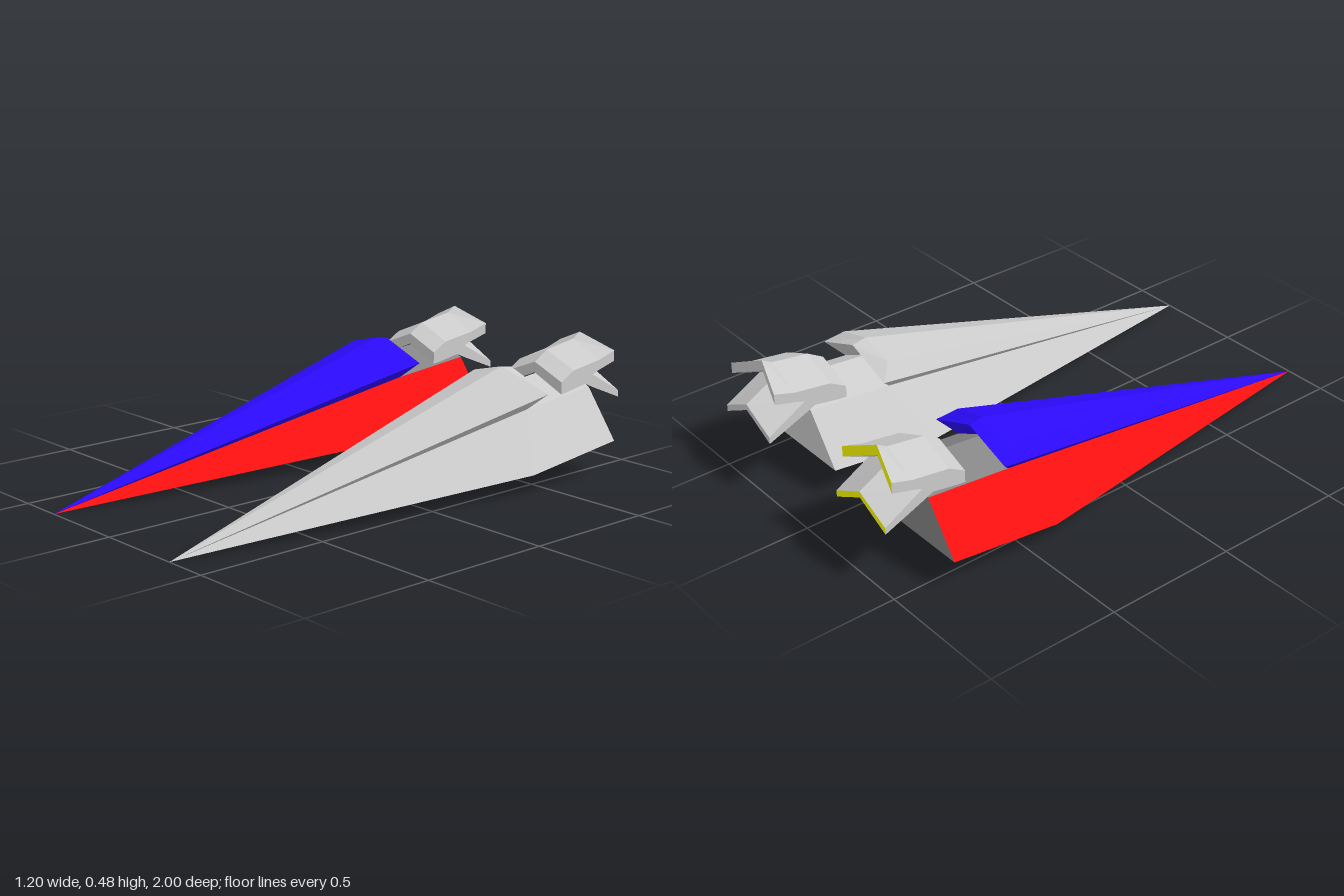
import * as THREE from 'three';

// Flat-shaded surface from polygons on the +x half, mirrored across x = 0
function mirrored(name, polygons, color) {
  const pos = [];
  const fan = (p) => {
    for (let i = 1; i < p.length - 1; i++) pos.push(...p[0], ...p[i], ...p[i + 1]);
  };
  for (const poly of polygons) {
    fan(poly);
    fan(poly.map(([x, y, z]) => [-x, y, z]).reverse());
  }
  const geo = new THREE.BufferGeometry();
  geo.setAttribute('position', new THREE.Float32BufferAttribute(pos, 3));
  geo.computeVertexNormals();
  const mesh = new THREE.Mesh(geo, new THREE.MeshStandardMaterial({
    color, flatShading: true, side: THREE.DoubleSide,
  }));
  mesh.name = name;
  return mesh;
}

// Roof-shaped plate swept along stations:
// [ridge z, ridge top, ridge bottom, side z, side top, side bottom]
function chevronPlate(name, stations, color, endColor) {
  const w = 0.135;
  const rows = stations.map(([rz, rt, rb, sz, st, sb]) => ({
    r: [0, rt, rz], rb: [0, rb, rz], s: [w, st, sz], sb: [w, sb, sz],
  }));
  const faces = [];
  for (let i = 0; i < rows.length - 1; i++) {
    const a = rows[i], b = rows[i + 1];
    faces.push([a.r, a.s, b.s, b.r], [a.s, a.sb, b.sb, b.s], [a.rb, b.rb, b.sb, a.sb]);
  }
  const f = rows[0], e = rows[rows.length - 1];
  faces.push([f.r, f.rb, f.sb, f.s]);
  const group = new THREE.Group();
  group.name = name;
  group.add(
    mirrored(name + 'Body', faces, color),
    mirrored(name + 'Exhaust', [[e.r, e.s, e.sb, e.rb]], endColor),
  );
  return group;
}

function createShip(name, c) {
  const ship = new THREE.Group();
  ship.name = name;

  // Corner points shared between hull and canopy
  const nose = [0, 0, 1];
  const keel = [0, 0, -0.4];
  const knee = [0.267, 0.075, -0.4];
  const rearCorner = [0.267, 0.125, -0.83];
  const rearMid = [0, 0.125, -0.83];
  const roofFront = [0.135, 0.275, -0.5];
  const roofRear = [0.135, 0.306, -0.83];
  const ridgeFront = [0, 0.34, -0.5];
  const ridgeRear = [0, 0.37, -0.83];
  const shoulder = [0.135, 0.375, -0.5];
  const crest = [0, 0.41, -0.5];
  const lip = [0.185, 0.33, -0.555];
  const lipMid = [0, 0.4, -0.555];

  // Hull
  ship.add(mirrored('hullSides', [
    [nose, knee, roofFront],
    [knee, rearCorner, roofRear, roofFront],
  ], c.sides));
  ship.add(mirrored('hullUnderside', [
    [nose, keel, knee],
    [keel, rearCorner, knee],
    [keel, rearMid, rearCorner],
  ], c.base));
  ship.add(mirrored('hullBack', [[rearMid, ridgeRear, roofRear, rearCorner]], c.base));
  ship.add(mirrored('neck', [[ridgeFront, roofFront, roofRear, ridgeRear]], c.base));

  // Overhanging canopy
  ship.add(mirrored('canopy', [
    [nose, shoulder, crest],
    [nose, lip, shoulder],
    [crest, shoulder, lip, lipMid],
    [nose, roofFront, lip],
    [lipMid, lip, roofFront, ridgeFront],
  ], c.canopy));

  // Engine with an upper and a lower tail plate
  ship.add(chevronPlate('upperTail', [
    [-0.68, 0.4, 0.36, -0.68, 0.345, 0.3],
    [-0.743, 0.437, 0.375, -0.743, 0.38, 0.31],
    [-0.85, 0.452, 0.41, -0.85, 0.395, 0.35],
    [-0.887, 0.458, 0.42, -0.887, 0.4, 0.362],
    [-0.925, 0.48, 0.44, -0.968, 0.424, 0.383],
  ], c.engine, c.exhaust));
  ship.add(chevronPlate('lowerTail', [
    [-0.7, 0.4, 0.365, -0.7, 0.345, 0.302],
    [-0.81, 0.43, 0.385, -0.81, 0.365, 0.32],
    [-0.85, 0.415, 0.365, -0.85, 0.35, 0.302],
    [-1.0, 0.333, 0.31, -1.0, 0.265, 0.24],
  ], c.engine, c.exhaust));
  return ship;
}

export function createModel() {
  const model = new THREE.Group();
  model.name = 'shipPair';
  const grey = 0xcccccc;
  const painted = createShip('paintedShip', {
    sides: 0xff1010, base: 0x858585, canopy: 0x2c0aff, engine: grey, exhaust: 0xffff00,
  });
  const plain = createShip('plainShip', {
    sides: grey, base: grey, canopy: grey, engine: grey, exhaust: grey,
  });
  painted.position.x = -0.335;
  plain.position.x = 0.335;
  model.add(painted, plain);
  return model;
}
